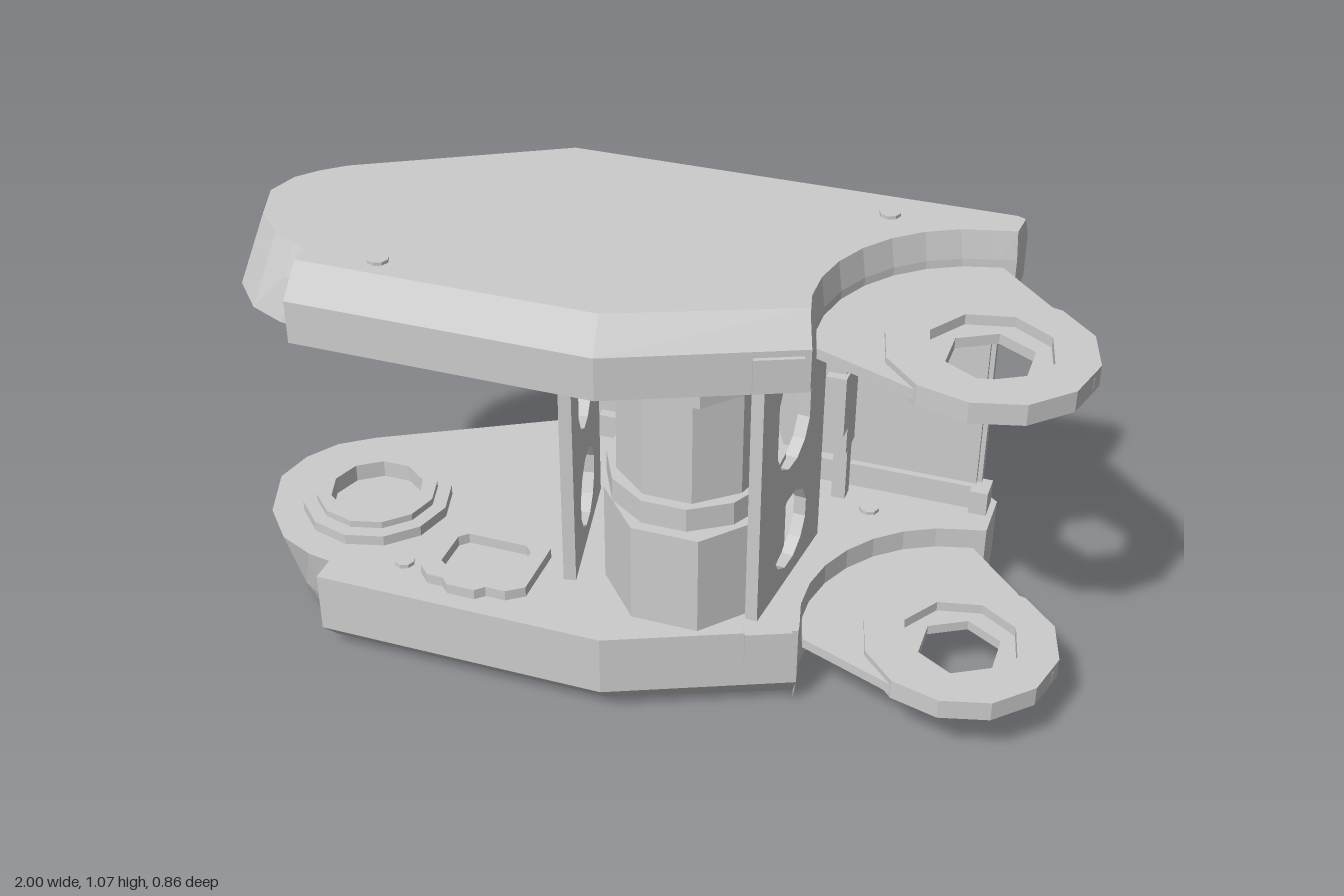
import * as THREE from 'three';

const mat = new THREE.MeshStandardMaterial({ color: 0xcccccc, flatShading: true, side: THREE.DoubleSide });

function add(parent, name, geometry) {
  const mesh = new THREE.Mesh(geometry, mat);
  mesh.name = name;
  parent.add(mesh);
  return mesh;
}

// box given by its limits
function box(parent, name, x0, x1, y0, y1, z0, z1) {
  const g = new THREE.BoxGeometry(x1 - x0, y1 - y0, z1 - z0);
  g.translate((x0 + x1) / 2, (y0 + y1) / 2, (z0 + z1) / 2);
  return add(parent, name, g);
}

// points [x, z] on an arc, angles in degrees, +z at 90
function arc(cx, cz, r, a0, a1, n, full = false) {
  const pts = [];
  for (let i = 0; i < n; i++) {
    const a = THREE.MathUtils.degToRad(a0 + (a1 - a0) * i / (full ? n : n - 1));
    pts.push([cx + r * Math.cos(a), cz + r * Math.sin(a)]);
  }
  return pts;
}
const ngon = (cx, cz, r, n, turn = 0) => arc(cx, cz, r, turn, turn + 360, n, true);

// flat slab from an [x, z] outline between two heights
function slab(parent, name, pts, y0, y1, holes = []) {
  const vec = (p) => p.map(([x, z]) => new THREE.Vector2(x, -z));
  const shape = new THREE.Shape(vec(pts));
  for (const h of holes) shape.holes.push(new THREE.Path(vec(h)));
  const g = new THREE.ExtrudeGeometry(shape, { depth: y1 - y0, bevelEnabled: false });
  g.rotateX(-Math.PI / 2);
  g.translate(0, y0, 0);
  return add(parent, name, g);
}

const LUG = [0.77, 0.095];

// cover outline: x, z, inset x, inset z, share of the inset at the shoulder
const coverOutline = [
  [-0.37, -0.43, -0.345, -0.365, 0], [0.73, -0.43, 0.73, -0.365, 0],
  [0.75, -0.415, 0.75, -0.355, 0], [0.75, -0.285, 0.745, -0.29, 0],
  ...arc(...LUG, 0.375, -99, -200, 9).map(([x, z]) => [x, z, x - 0.01, z - 0.005, 0]),
  [0.42, 0.24, 0.40, 0.19, 0], [0, 0.425, -0.01, 0.36, 0],
  [-0.72, 0.425, -0.72, 0.36, 0], [-0.72, 0.36, -0.722, 0.31, 0.3],
  [-0.78, 0.35, -0.76, 0.295, 0.5], [-0.87, 0.31, -0.82, 0.26, 0.6],
  [-0.95, 0.22, -0.89, 0.19, 0.6], [-1, 0.08, -0.93, 0.08, 0.6],
  [-0.98, -0.02, -0.91, 0, 0.6], [-0.93, -0.10, -0.87, -0.05, 0.5],
  [-0.85, -0.16, -0.82, -0.095, 0.2],
].reverse();

// lofts the cover from rim, shoulder and inset face
function cover(parent, name, rimY, shoulderY, faceY) {
  const loop = (y, f) => coverOutline.map(([x, z, xi, zi, k]) => {
    const t = f(k);
    return [x + (xi - x) * t, y, z + (zi - z) * t];
  });
  const loops = [loop(rimY, () => 0), loop(shoulderY, (k) => k), loop(faceY, () => 1)];
  if (faceY < rimY) loops.reverse();
  const pos = [];
  const n = coverOutline.length;
  const tri = (a, b, c) => pos.push(...a, ...b, ...c);
  for (let l = 0; l < 2; l++) {
    for (let i = 0; i < n; i++) {
      const j = (i + 1) % n;
      const [a, b] = [loops[l], loops[l + 1]];
      tri(a[i], a[j], b[j]);
      tri(a[i], b[j], b[i]);
    }
  }
  const cap = (p, up) => {
    const contour = p.map(([x, , z]) => new THREE.Vector2(x, -z));
    for (const [a, b, c] of THREE.ShapeUtils.triangulateShape(contour, [])) {
      if (up) tri(p[a], p[b], p[c]);
      else tri(p[a], p[c], p[b]);
    }
  };
  cap(loops[0], false);
  cap(loops[2], true);
  const g = new THREE.BufferGeometry();
  g.setAttribute('position', new THREE.Float32BufferAttribute(pos, 3));
  g.computeVertexNormals();
  add(parent, name, g);
}

// upright plate with two rounded slots, running from front to back
function slottedPlate(parent, name, frontX, backX) {
  const [y0, y1, half] = [0.235, 0.885, 0.19];
  const shape = new THREE.Shape([[-half, y0], [half, y0], [half, y1], [-half, y1]]
    .map((p) => new THREE.Vector2(...p)));
  for (const [cy, hh] of [[0.7, 0.143], [0.375, 0.1]]) {
    const pts = ngon(0, 0, 0.1, 12, 15).map(([u, v]) =>
      new THREE.Vector2(u, cy + v + Math.sign(v) * (hh - 0.1)));
    shape.holes.push(new THREE.Path(pts));
  }
  const g = new THREE.ExtrudeGeometry(shape, { depth: 0.03, bevelEnabled: false });
  g.translate(0, 0, -0.015);
  const m = add(parent, name, g);
  m.position.set((frontX + backX) / 2, 0, 0.05);
  m.rotation.y = Math.atan2(-0.38, frontX - backX);
}

// faceted drum, a little deeper than wide
function drum(parent, name, r, y0, y1, sides) {
  const g = new THREE.CylinderGeometry(r, r, y1 - y0, sides);
  g.rotateY(Math.PI / sides);
  g.scale(1, 1, 1.15);
  add(parent, name, g).position.set(0.12, (y0 + y1) / 2, 0.095);
}

// pierced hinge lug with a thin web reaching into the cover
function hingeLug(parent, y) {
  const lug = new THREE.Group();
  lug.name = 'hingeLug';
  const rim = ngon(...LUG, 0.23, 12, 0);
  slab(lug, 'lugLower', rim, y, y + 0.025, [ngon(...LUG, 0.1, 6, 30)]);
  slab(lug, 'lugUpper', rim, y + 0.025, y + 0.05, [ngon(...LUG, 0.14, 8, 10)]);
  slab(lug, 'lugWeb', [[0.5, -0.27], [0.72, -0.28], ...arc(...LUG, 0.225, -45, 113, 7),
    [0.42, 0.2], [0.36, 0]], y + 0.01, y + 0.035, [ngon(...LUG, 0.16, 10)]);
  parent.add(lug);
}

export function createModel() {
  const model = new THREE.Group();
  model.name = 'hingedLinkHousing';

  // covers and hinge lugs
  cover(model, 'bottomCover', 0.235, 0.08, 0.01);
  cover(model, 'topCover', 0.885, 0.99, 1.06);
  hingeLug(model, 0.145);
  hingeLug(model, 0.935);

  // bolts through both covers
  for (const [x, z] of [[-0.545, 0.305], [0.455, -0.275]]) {
    for (const [y0, y1] of [[0, 0.02], [0.225, 0.245], [1.05, 1.068]]) {
      slab(model, 'bolt', ngon(x, z, 0.025, 8), y0, y1);
    }
  }

  // bearing rings inside the rounded end
  const C = [-0.715, 0.1];
  slab(model, 'lowerBearingRing', ngon(...C, 0.185, 12), 0.235, 0.262, [ngon(...C, 0.115, 10)]);
  slab(model, 'lowerBearingLip', ngon(...C, 0.15, 12), 0.262, 0.28, [ngon(...C, 0.115, 10)]);
  slab(model, 'upperBearingRing', ngon(...C, 0.185, 12), 0.868, 0.885, [ngon(...C, 0.115, 10)]);

  // notched frame on the floor of the lower cover
  slab(model, 'floorFrame',
    [[-0.46, 0.14], [-0.25, 0.14], [-0.22, 0.17], [-0.22, 0.33], [-0.26, 0.36], [-0.31, 0.36],
      [-0.33, 0.38], [-0.4, 0.38], [-0.42, 0.36], [-0.46, 0.36], [-0.49, 0.33], [-0.49, 0.17]],
    0.235, 0.262,
    [[[-0.43, 0.18], [-0.28, 0.18], [-0.26, 0.2], [-0.26, 0.3], [-0.29, 0.32], [-0.42, 0.32],
      [-0.45, 0.3], [-0.45, 0.2]]]);

  // back wall with its inner panel and end clips
  box(model, 'backWall', -0.36, 0.71, 0.235, 0.885, -0.418, -0.392);
  box(model, 'innerPanel', 0.36, 0.7, 0.31, 0.82, -0.382, -0.368);
  for (const [y0, y1] of [[0.235, 0.3], [0.825, 0.885]]) {
    box(model, 'wallClip', 0.69, 0.735, y0, y1, -0.41, -0.345);
    box(model, 'wallRail', -0.3, 0.69, y0, y1, -0.395, -0.365);
  }

  // slotted plates either side of the motor
  slottedPlate(model, 'leftSlottedPlate', -0.145, -0.225);
  slottedPlate(model, 'rightSlottedPlate', 0.305, 0.345);

  // motor stack
  drum(model, 'motorBase', 0.21, 0.235, 0.49, 8);
  drum(model, 'motorNeck', 0.17, 0.49, 0.52, 8);
  drum(model, 'motorCollar', 0.205, 0.515, 0.575, 12);
  drum(model, 'motorBody', 0.185, 0.575, 0.835, 10);
  drum(model, 'motorCap', 0.2, 0.835, 0.885, 8);

  // latch post behind the right plate
  box(model, 'latchPost', 0.35, 0.385, 0.235, 0.885, -0.34, -0.3);
  box(model, 'latchArm', 0.35, 0.4, 0.425, 0.73, -0.3, -0.22);
  box(model, 'latchLowerTooth', 0.35, 0.4, 0.5, 0.66, -0.22, -0.183);
  box(model, 'latchUpperTooth', 0.35, 0.4, 0.675, 0.75, -0.29, -0.183);
  box(model, 'latchTop', 0.35, 0.385, 0.73, 0.885, -0.3, -0.25);

  // small catches on the sloping front edge
  for (const y of [0.197, 0.935]) {
    const m = add(model, 'frontCatch', new THREE.BoxGeometry(0.11, 0.08, 0.05));
    m.position.set(0.35, y, 0.255);
    m.rotation.y = 0.41;
  }
  return model;
}
